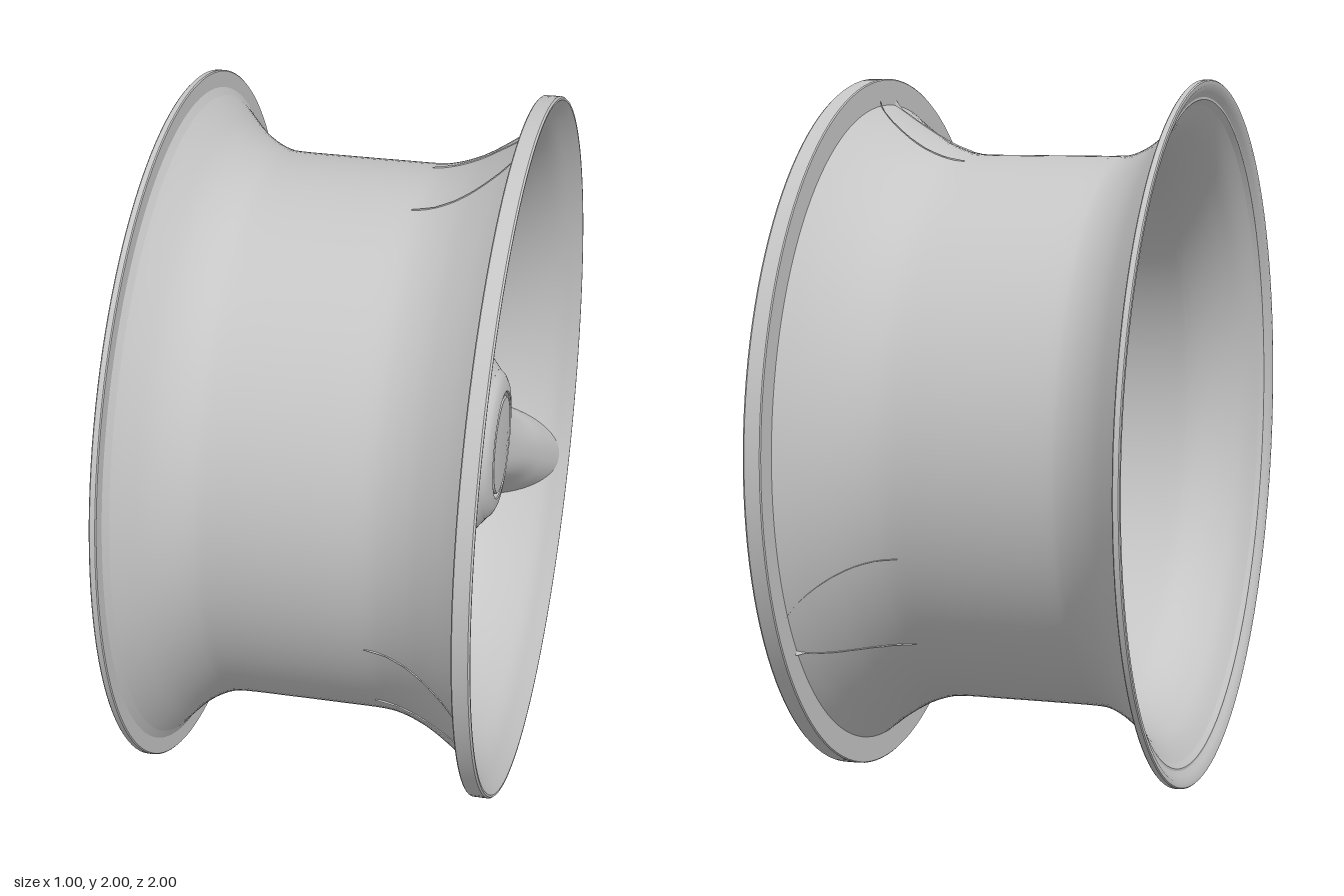
import * as THREE from 'three';
import { toCreasedNormals } from 'three/addons/utils/BufferGeometryUtils.js';

const metal = new THREE.MeshStandardMaterial({ color: 0xc6c6c6, side: THREE.DoubleSide });
metal.name = 'silver metal';

// Points are [position along the axle, radius]
const barrelOuter = [[-0.48, 0.945], [-0.44, 0.9], [-0.39, 0.85], [-0.34, 0.815], [-0.29, 0.793], [-0.24, 0.786],
  [-0.1, 0.785], [0.05, 0.785], [0.17, 0.786], [0.23, 0.796], [0.29, 0.818], [0.34, 0.845], [0.4, 0.885], [0.45, 0.925]];
const barrelInner = [[0.5, 0.99], [0.475, 0.957], [0.44, 0.912], [0.39, 0.87], [0.34, 0.836], [0.29, 0.808], [0.23, 0.787],
  [0.17, 0.778], [0.05, 0.777], [-0.1, 0.777], [-0.24, 0.778], [-0.29, 0.785], [-0.34, 0.806], [-0.39, 0.84], [-0.44, 0.889], [-0.5, 0.985]];

// Piecewise linear lookup in a list of [key, value]
function lookup(list, k) {
  for (let i = 1; i < list.length; i++) {
    const [a, va] = list[i - 1], [b, vb] = list[i];
    if (k <= b) return va + (vb - va) * Math.max(0, (k - a) / (b - a));
  }
  return list[list.length - 1][1];
}

const smooth = (pts, n) => new THREE.SplineCurve(pts.map(([x, r]) => new THREE.Vector2(r, x))).getPoints(n);
const points = (pts) => pts.map(([x, r]) => new THREE.Vector2(r, x));

// Lathe turned so that its axis is the axle (x)
function turned(profile, segments) {
  return new THREE.LatheGeometry(profile, segments).rotateZ(-Math.PI / 2);
}

function makeMesh(name, geometry, crease) {
  const mesh = new THREE.Mesh(crease ? toCreasedNormals(geometry, crease) : geometry, metal);
  mesh.name = name;
  return mesh;
}

// Hollow arched spoke, open at the back, trimmed to the flare of the barrel
function spokeGeometry() {
  const BACK = 0.17, START = 0.145, ROWS = 32, COLS = 32;
  const widths = new THREE.SplineCurve([[0.145, 0.25], [0.22, 0.217], [0.32, 0.18], [0.42, 0.156], [0.52, 0.142],
    [0.62, 0.135], [0.7, 0.139], [0.77, 0.152], [0.85, 0.156], [1, 0.156]].map((p) => new THREE.Vector2(...p)))
    .getPoints(60).map((p) => [p.x, p.y]);
  const section = (a, t) => {
    const c = Math.cos(t), s = Math.sin(t);
    const z = lookup(widths, a) * Math.sign(c) * Math.pow(Math.abs(c), 0.85);
    const top = 0.3 + 0.18 * a;
    return [BACK + (top - BACK) * Math.pow(Math.max(s, 0), 0.9), z];
  };
  const pos = [], idx = [];
  for (let j = 0; j <= COLS; j++) {
    const t = Math.PI * j / COLS;
    let end = 0.8;
    for (let k = 0; k < 12; k++) {
      const [x, z] = section(end, t);
      const r = lookup(barrelOuter, x) + (x > 0.43 ? (x - 0.43) * 0.8 : 0.003);
      end = Math.sqrt(r * r - z * z);
    }
    for (let i = 0; i <= ROWS; i++) {
      const a = START + (end - START) * i / ROWS;
      const [x, z] = section(a, t);
      pos.push(x, a, z);
      if (i < ROWS && j < COLS) {
        const p = j * (ROWS + 1) + i, q = p + ROWS + 1;
        idx.push(p, p + 1, q, q, p + 1, q + 1);
      }
    }
  }
  const g = new THREE.BufferGeometry();
  g.setAttribute('position', new THREE.Float32BufferAttribute(pos, 3));
  g.setIndex(idx);
  g.computeVertexNormals();
  return g;
}

// Hub dome, bulging slightly towards each spoke
function hubGeometry() {
  const dome = smooth([[0.17, 0.3], [0.24, 0.3], [0.3, 0.292], [0.345, 0.265], [0.37, 0.235], [0.385, 0.216]], 24);
  const g = turned(dome, 96);
  const p = g.attributes.position;
  for (let i = 0; i < p.count; i++) {
    const y = p.getY(i), z = p.getZ(i), r = Math.hypot(y, z);
    const k = 1 + 0.05 * Math.cos(3 * Math.atan2(z, y)) * THREE.MathUtils.smoothstep(r, 0.215, 0.29);
    p.setY(i, y * k);
    p.setZ(i, z * k);
  }
  g.computeVertexNormals();
  return toCreasedNormals(g, 0.6);
}

export function createModel() {
  const wheel = new THREE.Group();
  wheel.name = 'wheel';

  // Rim: thin flared barrel with a lip at each side
  const rimProfile = [
    ...points([[-0.5, 0.985], [-0.5, 0.997], [-0.497, 1], [-0.483, 1], [-0.48, 0.997]]),
    ...smooth(barrelOuter, 60),
    ...points([[0.45, 0.997], [0.453, 1], [0.495, 1], [0.5, 0.996]]),
    ...smooth(barrelInner, 60),
  ];
  wheel.add(makeMesh('rim', turned(rimProfile, 128), 0.6));

  // Three spokes
  const spoke = spokeGeometry();
  for (let i = 0; i < 3; i++) {
    const mesh = makeMesh('spoke', spoke);
    mesh.rotation.x = i * Math.PI * 2 / 3;
    wheel.add(mesh);
  }

  // Hub, raised ring and centre cap set in a groove
  wheel.add(makeMesh('hub', hubGeometry()));
  wheel.add(makeMesh('hubRing', turned(points([[0.385, 0.216], [0.398, 0.205], [0.408, 0.185], [0.412, 0.156],
    [0.409, 0.153], [0.39, 0.152], [0.39, 0.143]]), 64), 0.5));
  wheel.add(makeMesh('centreCap', turned(points([[0.39, 0.143], [0.408, 0.142], [0.412, 0.138], [0.415, 0.08],
    [0.416, 0]]), 64), 0.5));

  wheel.position.y = 1;
  const model = new THREE.Group();
  model.name = 'wheelModel';
  model.add(wheel);
  return model;
}
